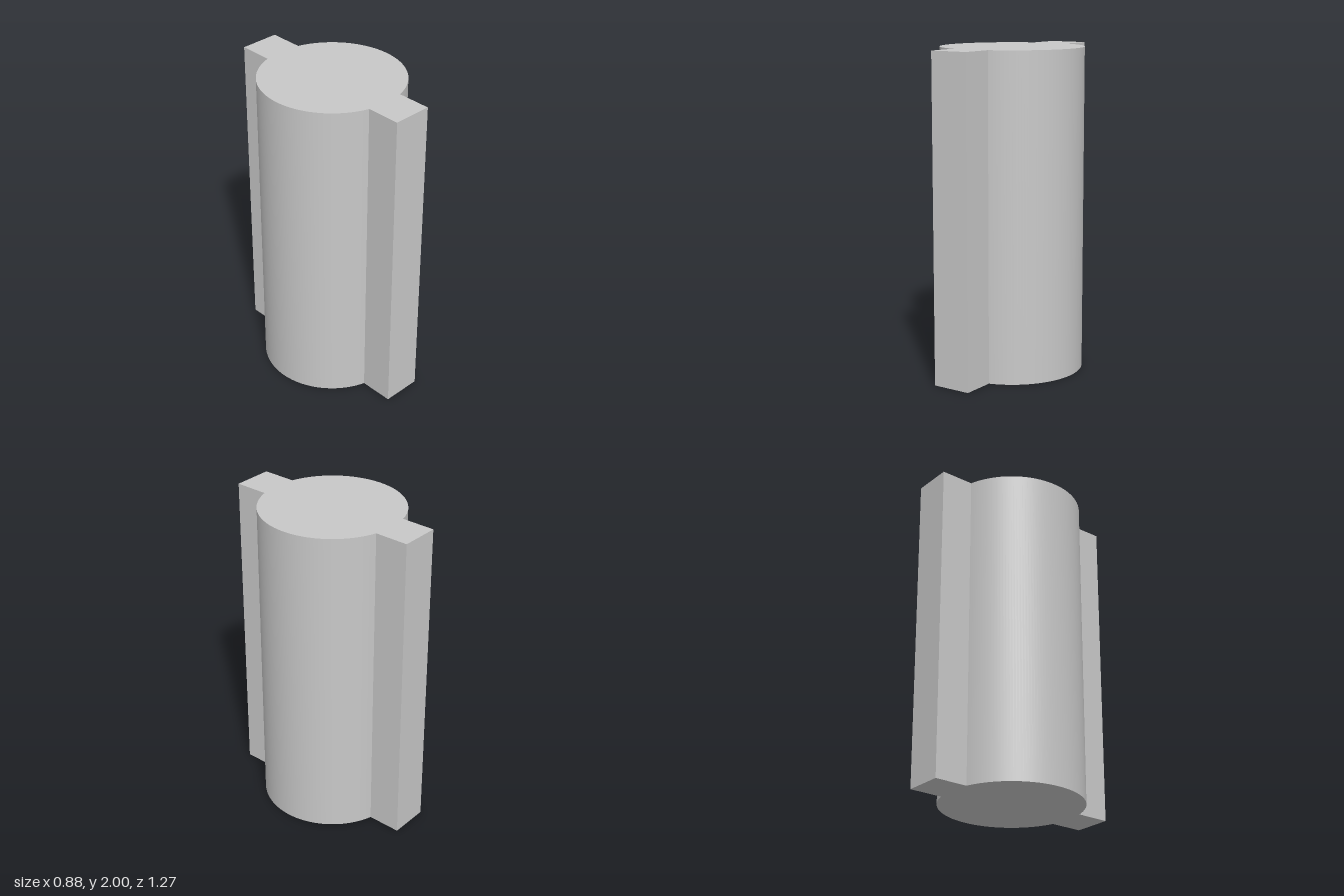
import * as THREE from 'three';
import { toCreasedNormals } from 'three/addons/utils/BufferGeometryUtils.js';

const HEIGHT = 2;
const RADIUS = 0.44;   // round core
const KEY_HALF = 0.123; // half width of each key
const KEY_END = 0.635;  // reach of each key along z

export function createModel() {
  const group = new THREE.Group();
  group.name = 'keyedShaft';
  const grey = new THREE.MeshStandardMaterial({ color: 0xc8c8c8 });
  grey.name = 'light grey';

  // Cross-section: a circle with a square key at front and back
  const a = Math.acos(KEY_HALF / RADIUS);
  const section = new THREE.Shape();
  section.moveTo(KEY_HALF, KEY_END);
  section.lineTo(-KEY_HALF, KEY_END);
  section.absarc(0, 0, RADIUS, Math.PI - a, Math.PI + a, false);
  section.lineTo(-KEY_HALF, -KEY_END);
  section.lineTo(KEY_HALF, -KEY_END);
  section.absarc(0, 0, RADIUS, -a, a, false);
  section.closePath();

  // Extrude upward, smooth round the core and sharp at the keys
  const extruded = new THREE.ExtrudeGeometry(section, {
    depth: HEIGHT, bevelEnabled: false, curveSegments: 32,
  });
  extruded.rotateX(-Math.PI / 2);
  const shaft = new THREE.Mesh(toCreasedNormals(extruded, Math.PI / 6), grey);
  shaft.name = 'shaft';
  group.add(shaft);
  return group;
}
